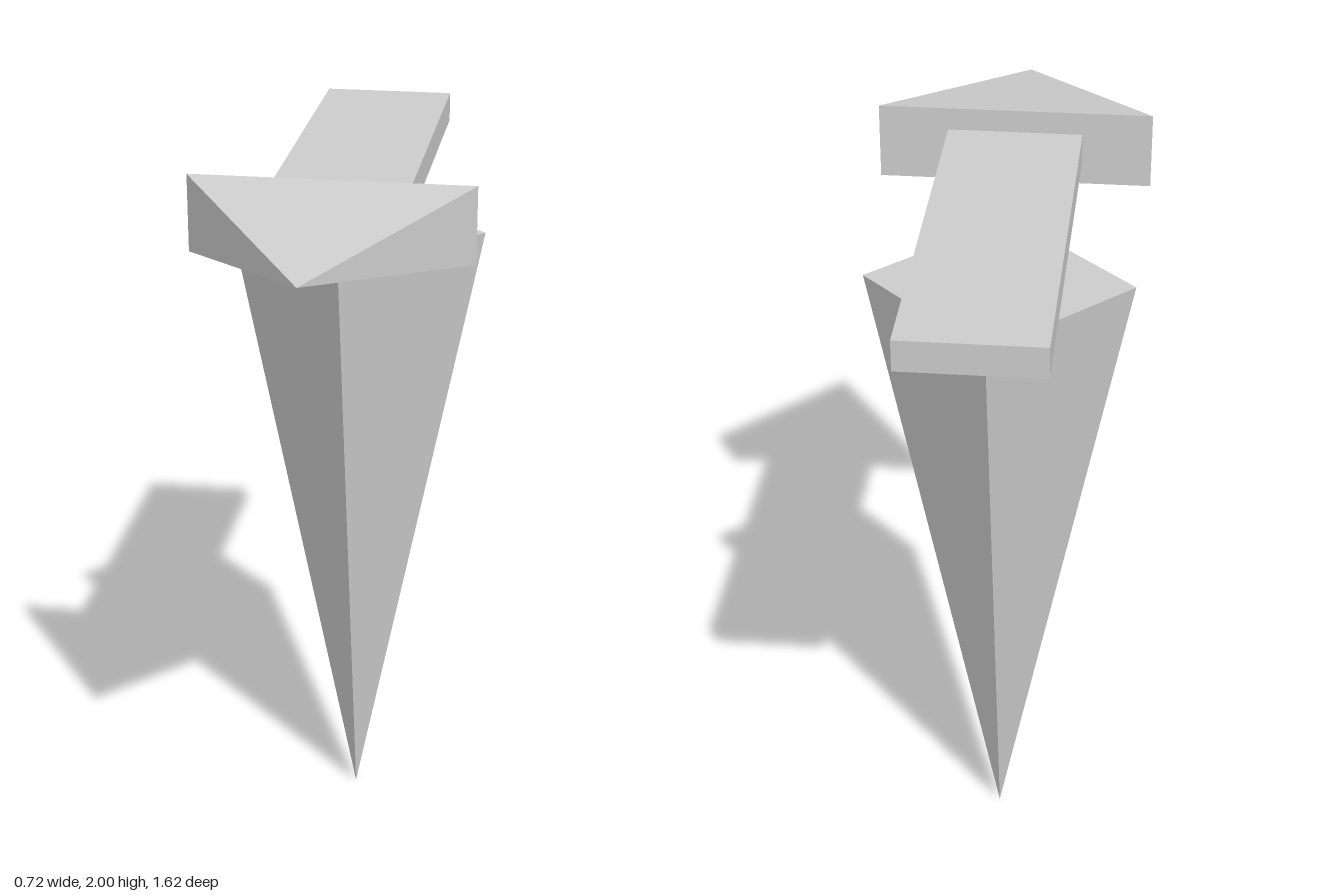
import * as THREE from 'three';

export function createModel() {
  const group = new THREE.Group();
  const grey = new THREE.MeshStandardMaterial({ color: 0xcccccc });
  grey.name = 'light grey';
  grey.flatShading = true;

  const add = (name, geometry, x, y, z) => {
    const mesh = new THREE.Mesh(geometry, grey);
    mesh.name = name;
    mesh.position.set(x, y, z);
    group.add(mesh);
  };

  // Arrow shaft: flat bar running back to front
  add('arrowShaft', new THREE.BoxGeometry(0.355, 0.08, 1.11), 0, 1.9, -0.255);

  // Arrow head: four-sided pyramid pointing forward, stretched to a 0.72 x 0.2 base
  const head = new THREE.ConeGeometry(Math.SQRT1_2, 0.51, 4);
  head.rotateY(Math.PI / 4).rotateX(Math.PI / 2).scale(0.72, 0.2, 1);
  add('arrowHead', head, 0, 1.9, 0.555);

  // Spike: four-sided pyramid pointing down, corners on the axes
  const spike = new THREE.ConeGeometry(0.345, 1.738, 4);
  spike.rotateX(Math.PI);
  add('spike', spike, 0, 0.869, -0.147);

  return group;
}
